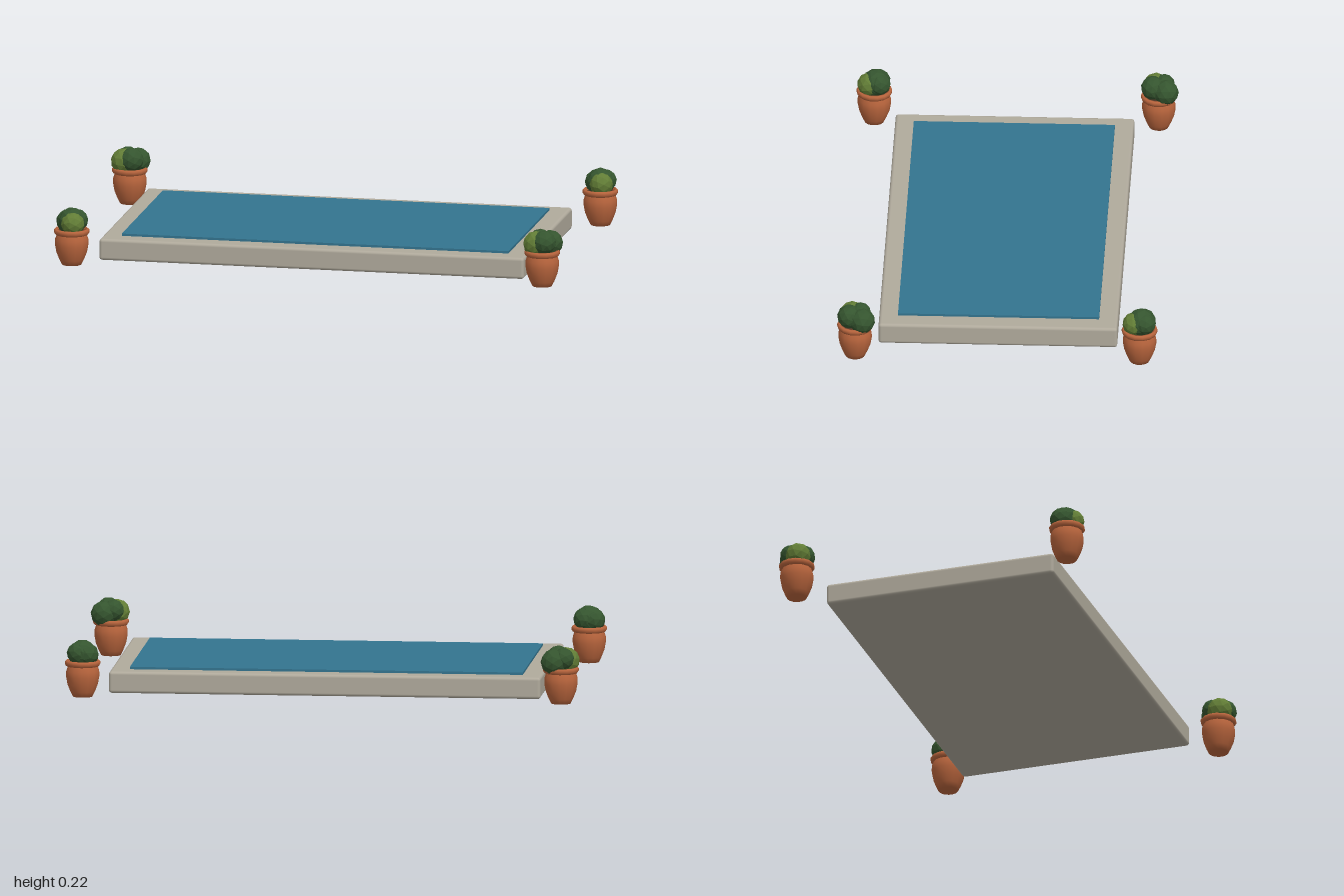
import * as THREE from 'three';
import { RoundedBoxGeometry } from 'three/addons/geometries/RoundedBoxGeometry.js';

const mat = (name, color, extra = {}) => {
  const m = new THREE.MeshStandardMaterial({ color, ...extra });
  m.name = name;
  return m;
};

function addMesh(parent, name, geometry, material, x = 0, y = 0, z = 0) {
  const mesh = new THREE.Mesh(geometry, material);
  mesh.name = name;
  mesh.position.set(x, y, z);
  parent.add(mesh);
  return mesh;
}

export function createModel() {
  const stone = mat('stone', 0xb0aa9c);
  const water = mat('water', 0x33748f);
  const terracotta = mat('terracotta', 0xb9653d);
  const soil = mat('soil', 0x4a3324);
  const darkLeaf = mat('dark leaf', 0x35552f);
  const lightLeaf = mat('light leaf', 0x627d36);

  const model = new THREE.Group();
  model.name = 'poolWithPlanters';

  // Stone basin with softened edges, and the thin sheet of water on top
  addMesh(model, 'poolBasin', new RoundedBoxGeometry(1.67, 0.084, 0.92, 2, 0.012), stone, -0.004, 0.042, 0.01);
  addMesh(model, 'waterSurface', new THREE.BoxGeometry(1.52, 0.009, 0.775), water, -0.004, 0.0885, 0.01);

  // Pot: closed foot, bulging belly, rolled rim and inner lip
  const potProfile = [
    [0, 0], [0.038, 0], [0.048, 0.02], [0.059, 0.048], [0.0645, 0.078],
    [0.064, 0.1], [0.058, 0.118],
  ].map(([r, y]) => new THREE.Vector2(r, y));
  const rimProfile = [
    [0.056, 0.117], [0.064, 0.119], [0.069, 0.127], [0.069, 0.136],
    [0.064, 0.141], [0.056, 0.14], [0.054, 0.125],
  ].map(([r, y]) => new THREE.Vector2(r, y));
  const potGeometry = new THREE.LatheGeometry(potProfile, 14);
  const rimGeometry = new THREE.LatheGeometry(rimProfile, 14);
  const soilGeometry = new THREE.CylinderGeometry(0.057, 0.057, 0.006, 14);

  // Faceted leaf clump
  const leafGeometry = (r) => {
    const g = new THREE.IcosahedronGeometry(r, 1);
    g.computeVertexNormals();
    return g;
  };

  // Clumps per pot: [radius, x, y, z, isLight]
  const spread = [
    [0.05, -0.022, 0.167, 0.012, true],
    [0.05, 0.026, 0.164, -0.028, false],
    [0.047, 0.012, 0.175, 0.022, false],
    [0.042, -0.012, 0.177, -0.02, false],
  ];
  const upright = (s) => [
    [0.055, 0, 0.167, -0.006 * s, false],
    [0.046, 0.008, 0.164, 0.02 * s, true],
    [0.046, -0.018, 0.166, -0.016, false],
    [0.044, 0.016, 0.17, -0.02, false],
  ];

  const planters = [
    ['frontLeftPlanter', 0.922, 0.556, spread],
    ['frontRightPlanter', -0.928, 0.556, upright(1)],
    ['backLeftPlanter', 0.922, -0.54, upright(1)],
    ['backRightPlanter', -0.928, -0.54, spread],
  ];
  planters.forEach(([name, x, z, clumps], p) => {
    const planter = new THREE.Group();
    planter.name = name;
    planter.position.set(x, 0, z);
    addMesh(planter, 'pot', potGeometry, terracotta);
    addMesh(planter, 'potRim', rimGeometry, terracotta);
    addMesh(planter, 'soil', soilGeometry, soil, 0, 0.128, 0);
    clumps.forEach(([r, cx, cy, cz, light], i) => {
      const leaf = addMesh(planter, 'leafClump', leafGeometry(r), light ? lightLeaf : darkLeaf, cx, cy, cz);
      leaf.rotation.set(i * 0.9 + p * 0.4, i * 1.7 + p, i * 0.5);
    });
    model.add(planter);
  });

  return model;
}
